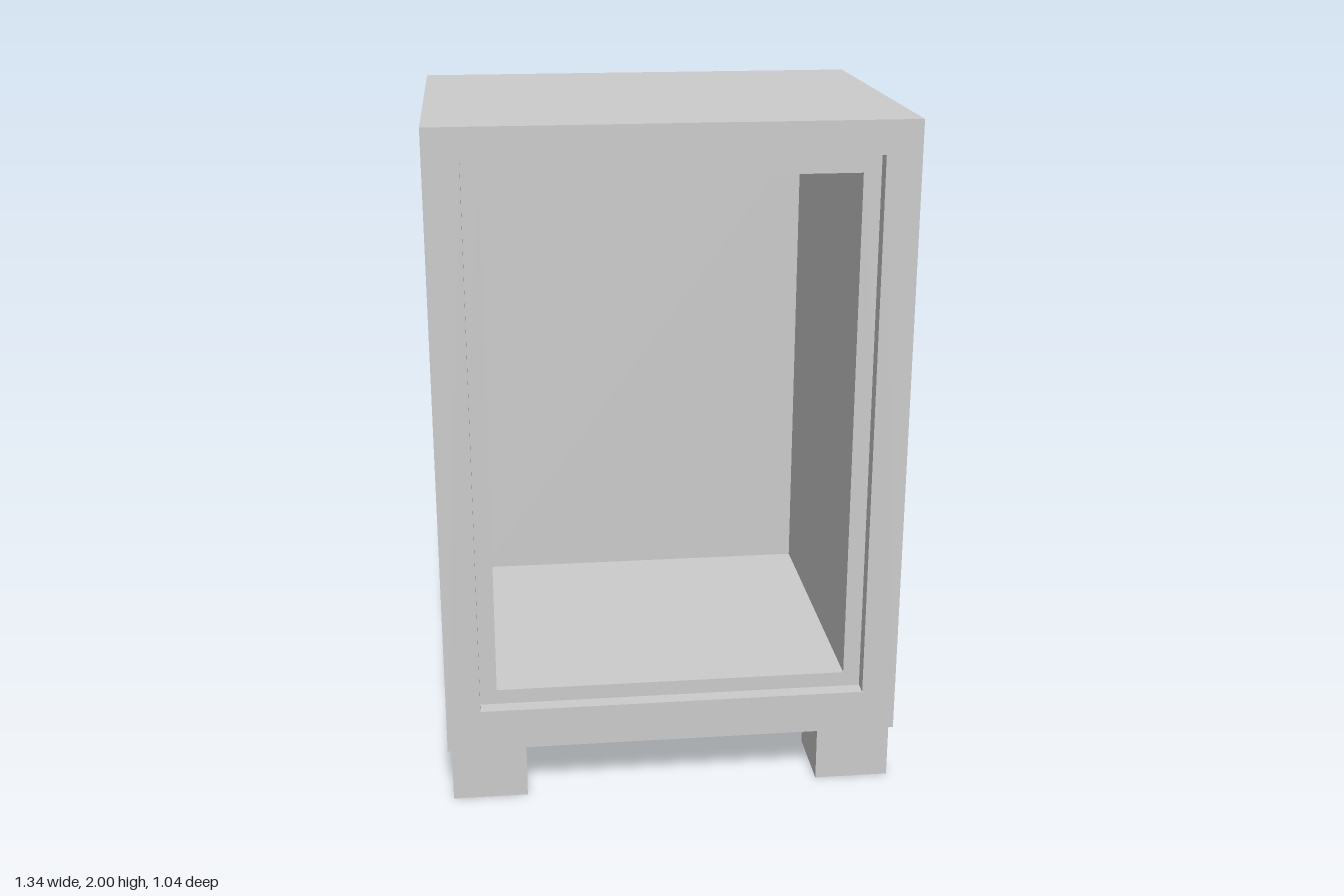
import * as THREE from 'three';

const material = new THREE.MeshStandardMaterial({ color: 0xcccccc, flatShading: true });

const W = 0.67, D = 0.52, BOTTOM = 0.165, TOP = 2;
const REBATE_Z = 0.475; // step that receives the door
const BACK_Z = -0.415; // inner face of the back panel

function rectangle(path, x, y0, y1) {
  path.moveTo(-x, y0);
  path.lineTo(x, y0);
  path.lineTo(x, y1);
  path.lineTo(-x, y1);
  path.closePath();
  return path;
}

// Rectangular frame between two depths, with an opening of the given size
function frame(name, z0, z1, x, y0, y1) {
  const shape = rectangle(new THREE.Shape(), W, BOTTOM, TOP);
  shape.holes.push(rectangle(new THREE.Path(), x, y0, y1));
  const geometry = new THREE.ExtrudeGeometry(shape, { depth: z1 - z0, bevelEnabled: false });
  const mesh = new THREE.Mesh(geometry, material);
  mesh.name = name;
  mesh.position.z = z0;
  return mesh;
}

function box(name, w, h, d, x, y, z) {
  const mesh = new THREE.Mesh(new THREE.BoxGeometry(w, h, d), material);
  mesh.name = name;
  mesh.position.set(x, y, z);
  return mesh;
}

export function createModel() {
  const group = new THREE.Group();
  group.name = 'cabinet';

  // Open-fronted case: wide front opening, then the narrower cavity, then the back
  group.add(frame('frontFrame', REBATE_Z, D, 0.57, 0.29, 1.905));
  group.add(frame('caseWalls', BACK_Z, REBATE_Z, 0.52, 0.335, 1.85));
  group.add(box('backPanel', 2 * W, TOP - BOTTOM, BACK_Z + D, 0, (TOP + BOTTOM) / 2, (BACK_Z - D) / 2));

  // Four block feet, slightly inset from the corners
  for (const sx of [1, -1]) {
    for (const sz of [1, -1]) {
      const name = (sz > 0 ? 'front' : 'back') + (sx > 0 ? 'Left' : 'Right') + 'Foot';
      group.add(box(name, 0.22, BOTTOM, 0.22, sx * 0.548, BOTTOM / 2, sz * 0.402));
    }
  }
  return group;
}
